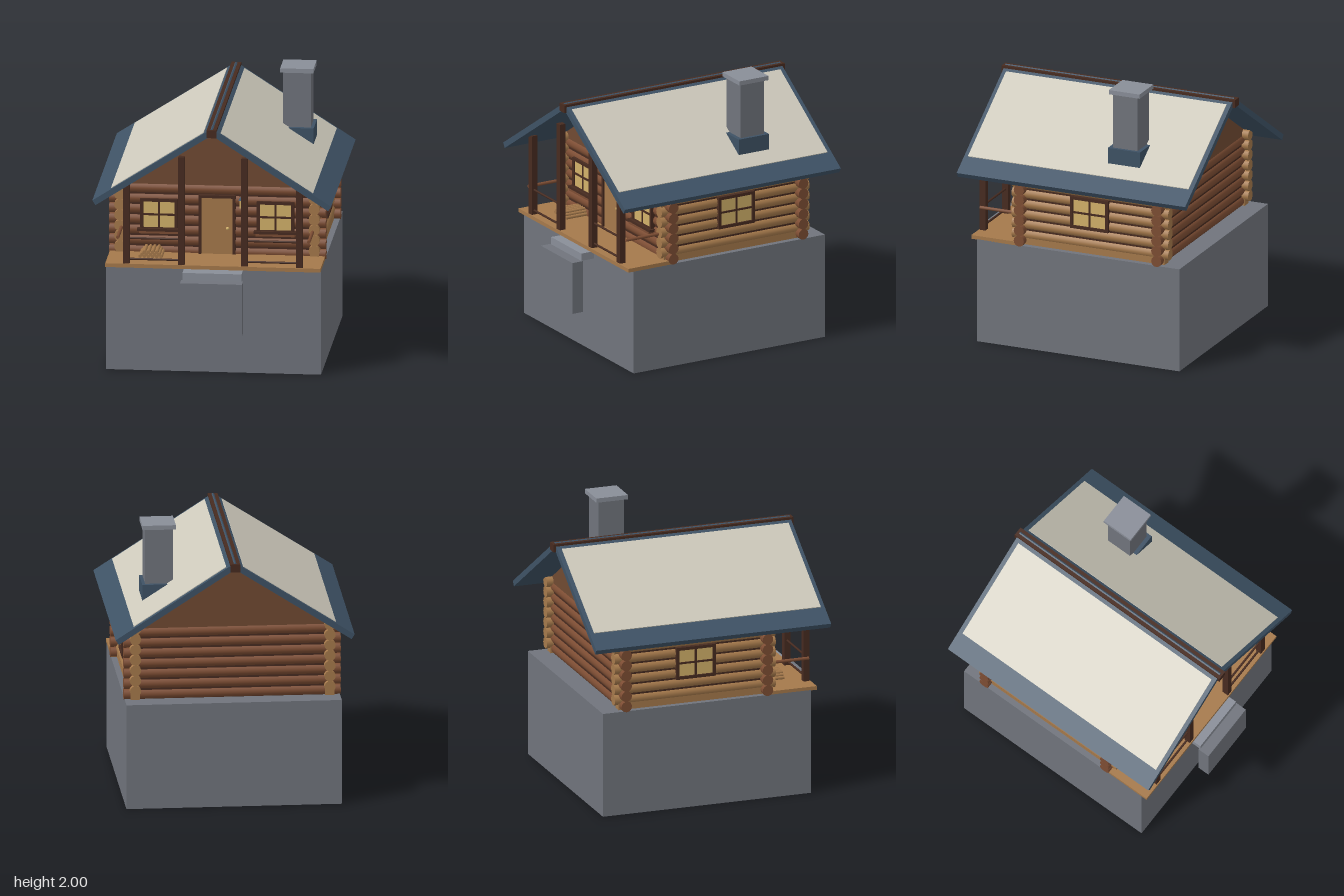
import * as THREE from 'three';

const mat = (name, color, side = THREE.FrontSide) => {
  const m = new THREE.MeshStandardMaterial({ color, side });
  m.name = name;
  return m;
};

export function createModel() {
  const stone = mat('stone', 0x70747c);
  const paleStone = mat('paleStone', 0x898e98);
  const tanWood = mat('tanWood', 0xa5794b);
  const brownWood = mat('brownWood', 0x7d4d33);
  const gableWood = mat('gableWood', 0x704a32);
  const darkWood = mat('darkWood', 0x472b20);
  const slate = mat('slate', 0x3e5265);
  const panel = mat('panel', 0xcdc9bb);
  const glow = mat('glow', 0xd2b169);

  const model = new THREE.Group();
  model.name = 'logCabin';

  const add = (name, geometry, material, parent = model) => {
    const mesh = new THREE.Mesh(geometry, material);
    mesh.name = name;
    parent.add(mesh);
    return mesh;
  };
  // Box given by its extents on each axis
  const box = (name, material, [x0, x1], [y0, y1], [z0, z1], parent) => {
    const m = add(name, new THREE.BoxGeometry(x1 - x0, y1 - y0, z1 - z0), material, parent);
    m.position.set((x0 + x1) / 2, (y0 + y1) / 2, (z0 + z1) / 2);
    return m;
  };
  // Round log between two points
  const log = (name, material, r, a, b, sides = 16, parent = model) => {
    const p = new THREE.Vector3(...a), q = new THREE.Vector3(...b);
    const m = add(name, new THREE.CylinderGeometry(r, r, p.distanceTo(q), sides), material, parent);
    m.position.copy(p).lerp(q, 0.5);
    m.quaternion.setFromUnitVectors(new THREE.Vector3(0, 1, 0), q.sub(p).normalize());
    return m;
  };
  // Outline in x and y, extruded from z0 to z1
  const prism = (name, material, points, z0, z1) => {
    const shape = new THREE.Shape(points.map(([x, y]) => new THREE.Vector2(x, y)));
    const g = new THREE.ExtrudeGeometry(shape, { depth: z1 - z0, bevelEnabled: false });
    return add(name, g.translate(0, 0, z0), material);
  };

  // Plinth, deck and steps
  box('plinth', stone, [-0.775, 0.775], [0, 0.775], [-0.835, 0.755]);
  box('deck', tanWood, [-0.775, 0.775], [0.772, 0.8], [0.4, 0.8]);
  box('upperStep', paleStone, [-0.213, 0.213], [0.705, 0.76], [0.75, 0.86]);
  box('lowerStep', stone, [-0.223, 0.223], [0.32, 0.705], [0.85, 0.94]);

  // Log walls with crossing corners and a dark core between the logs
  box('wallCore', darkWood, [-0.723, 0.723], [0.775, 1.3], [-0.678, 0.448]);
  for (let i = 0; i < 7; i++) {
    const yEnd = 0.809 + i * 0.077, ySide = 0.846 + i * 0.077;
    for (const z of [0.425, -0.655]) {
      log('endWallLog', brownWood, 0.04, [-0.78, yEnd, z], [0.78, yEnd, z]);
    }
    for (const x of [-0.7, 0.7]) {
      log('sideWallLog', tanWood, 0.04, [x, ySide, -0.73], [x, ySide, 0.5]);
    }
  }
  for (const x of [-0.7, 0.7]) {
    box('sillBeam', tanWood, [x - 0.033, x + 0.033], [0.775, 0.825], [-0.7, 0.48]);
  }

  // Gables
  for (const z of [0.435, -0.665]) {
    prism('gable', gableWood, [[-0.73, 1.3], [0.73, 1.3], [0.73, 1.325], [0, 1.8], [-0.73, 1.325]],
      z - 0.015, z + 0.015);
  }

  // Roof slopes with pale inset panels
  const roofY = (x) => 1.842 - 0.645 * x;
  for (const s of [-1, 1]) {
    prism('roofSlope', slate,
      [[0, roofY(0)], [0.86, roofY(0.86)], [0.838, 1.252], [0, 1.793]].map(([x, y]) => [s * x, y]),
      -0.918, 0.878);
    prism('roofPanel', panel,
      [[0.06, roofY(0.06) - 0.002], [0.726, roofY(0.726) - 0.002],
        [0.728, roofY(0.728) + 0.006], [0.062, roofY(0.062) + 0.006]].map(([x, y]) => [s * x, y]),
      -0.885, 0.848);
  }
  box('ridgeBeam', darkWood, [-0.035, 0.035], [1.778, 1.836], [-0.938, 0.896]);

  // Chimney
  box('chimneyFlashing', slate, [0.38, 0.627], [1.4, 1.56], [-0.458, -0.206]);
  box('chimneyStack', stone, [0.405, 0.604], [1.45, 1.97], [-0.43, -0.235]);
  box('chimneyCap', paleStone, [0.385, 0.625], [1.968, 2], [-0.455, -0.213]);

  // Porch posts and rails
  for (const s of [-1, 1]) {
    box('outerPost', darkWood, [s * 0.623 - 0.023, s * 0.623 + 0.023], [0.8, 1.395], [0.747, 0.793]);
    box('innerPost', darkWood, [s * 0.227 - 0.023, s * 0.227 + 0.023], [0.8, 1.6], [0.747, 0.793]);
    for (const y of [0.83, 0.985]) {
      log('frontRail', darkWood, 0.008, [s * 0.227, y, 0.77], [s * 0.623, y, 0.77], 8);
    }
    log('sideRail', brownWood, 0.012, [s * 0.688, 0.987, 0.48], [s * 0.688, 0.987, 0.77], 10);
  }

  // Window facing +z, centred on its own origin
  const makeWindow = (w, h) => {
    const g = new THREE.Group();
    g.name = 'window';
    const x = w / 2, y = h / 2, t = 0.022;
    box('pane', glow, [-x + t, x - t], [-y + t, y - t], [-0.02, 0.006], g);
    for (const s of [-1, 1]) {
      box('frameSide', darkWood, [s * (x - t / 2) - t / 2, s * (x - t / 2) + t / 2], [-y, y], [-0.03, 0.018], g);
      box('frameBar', darkWood, [-x, x], [s * (y - t / 2) - t / 2, s * (y - t / 2) + t / 2], [-0.03, 0.018], g);
    }
    box('mullion', darkWood, [-0.007, 0.007], [-y + t, y - t], [0, 0.013], g);
    box('transom', darkWood, [-x + t, x - t], [-0.007, 0.007], [0, 0.013], g);
    model.add(g);
    return g;
  };
  for (const s of [-1, 1]) {
    makeWindow(0.27, 0.235).position.set(s * 0.42, 1.082, 0.465);
    const side = makeWindow(0.3, 0.24);
    side.position.set(s * 0.738, 1.08, -0.115);
    side.rotation.y = s * Math.PI / 2;
    box('windowSill', darkWood, [s * 0.42 - 0.155, s * 0.42 + 0.155], [0.963, 0.982], [0.44, 0.505]);
    box('sillBracket', brownWood, [s * 0.42 - 0.14, s * 0.42 + 0.14], [0.947, 0.963], [0.44, 0.505]);
  }

  // Door
  box('doorPanel', tanWood, [-0.115, 0.112], [0.8, 1.218], [0.42, 0.474]);
  for (const x of [-0.125, 0.122]) {
    box('doorJamb', darkWood, [x - 0.01, x + 0.01], [0.8, 1.236], [0.42, 0.485]);
  }
  box('doorHead', darkWood, [-0.135, 0.132], [1.216, 1.236], [0.42, 0.485]);
  add('doorKnob', new THREE.SphereGeometry(0.012, 12, 8), glow).position.set(0.076, 0.993, 0.483);

  // Wall lantern
  box('lanternBracket', darkWood, [0.179, 0.191], [1.236, 1.246], [0.45, 0.54]);
  box('lanternGlass', glow, [0.169, 0.201], [1.165, 1.224], [0.519, 0.551]);
  const cap = add('lanternCap', new THREE.CylinderGeometry(0.014, 0.034, 0.022, 4), slate);
  cap.rotation.y = Math.PI / 4;
  cap.position.set(0.185, 1.234, 0.535);

  // Stacked firewood
  for (let row = 0; row < 3; row++) {
    for (let i = 0; i < 6 - row; i++) {
      const x = -0.54 + row * 0.015 + i * 0.03, y = 0.812 + row * 0.016;
      log('firewood', tanWood, 0.013, [x, y, 0.46], [x, y, 0.635], 8);
    }
  }

  return model;
}
